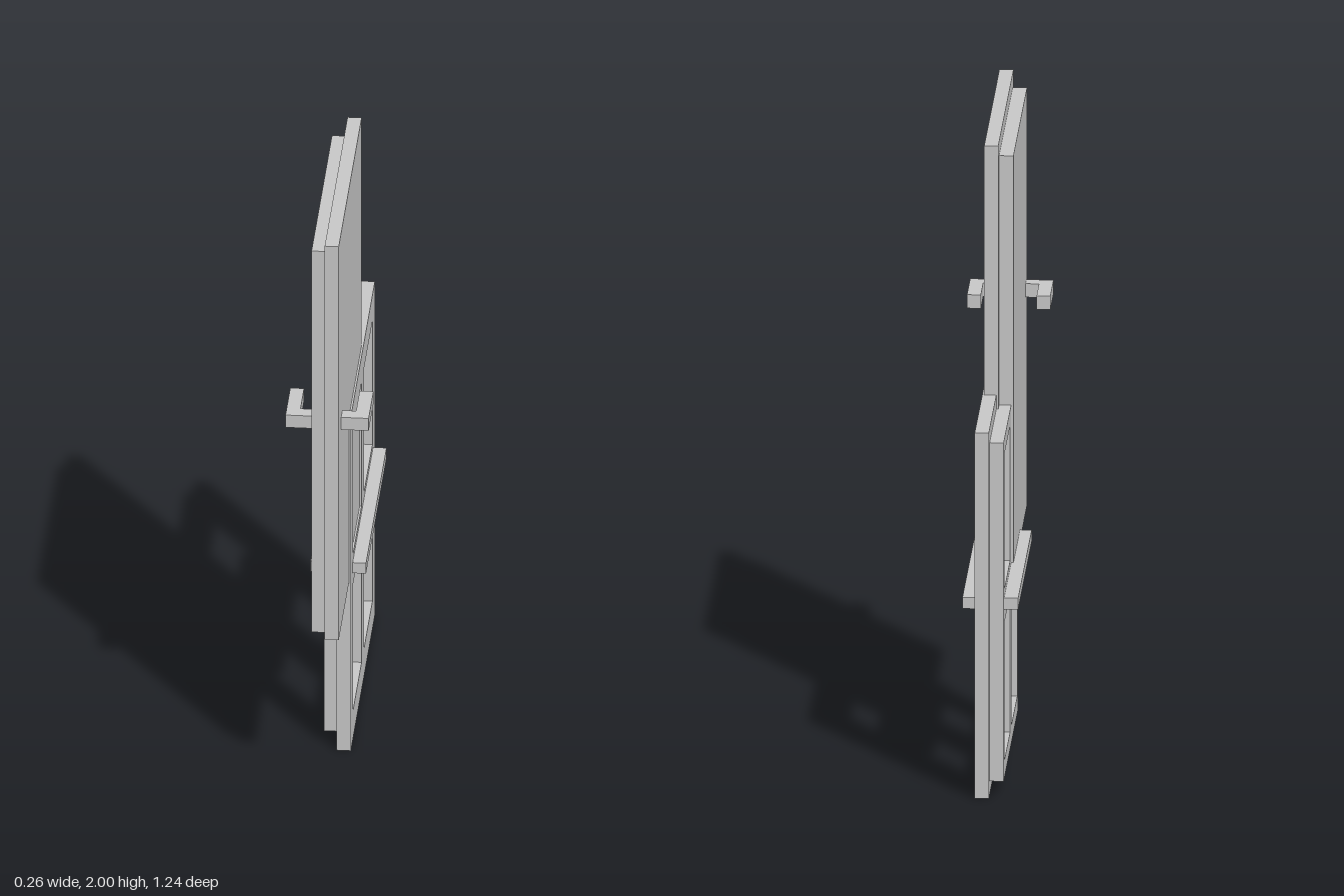
import * as THREE from 'three';

const material = new THREE.MeshStandardMaterial({ color: 0xcccccc, flatShading: true });

function addMesh(parent, name, geometry) {
  const mesh = new THREE.Mesh(geometry, material);
  mesh.name = name;
  parent.add(mesh);
}

// Box given by its limits on each axis
function addBox(parent, name, [x0, x1], [y0, y1], [z0, z1]) {
  const geometry = new THREE.BoxGeometry(x1 - x0, y1 - y0, z1 - z0);
  geometry.translate((x0 + x1) / 2, (y0 + y1) / 2, (z0 + z1) / 2);
  addMesh(parent, name, geometry);
}

// Counter-clockwise rectangle, drawn with -z to the right
function rectangle(PathType, [z0, z1], [y0, y1]) {
  return new PathType([[-z1, y0], [-z0, y0], [-z0, y1], [-z1, y1]].map(p => new THREE.Vector2(...p)));
}

// Window frame layer: a slab across x with four pane openings
function addFrame(parent, name, [x0, x1], yRange, zRange) {
  const shape = rectangle(THREE.Shape, zRange, yRange);
  for (const z of [[-0.535, -0.225], [-0.14, 0.168]])
    for (const y of [[0.098, 0.548], [0.656, 1.097]])
      shape.holes.push(rectangle(THREE.Path, z, y));
  const geometry = new THREE.ExtrudeGeometry(shape, { depth: x1 - x0, bevelEnabled: false });
  geometry.rotateY(Math.PI / 2).translate(x0, 0, 0);
  addMesh(parent, name, geometry);
}

// L-shaped handle: a stem out of the door and a grip turned towards the hinges
function addHandle(parent, name, side) {
  const points = [[0.04, 0.535], [0.13, 0.535], [0.13, 0.36], [0.087, 0.36], [0.087, 0.49], [0.04, 0.49]];
  const shape = new THREE.Shape(points.map(([x, z]) => new THREE.Vector2(side * x, -z)));
  const geometry = new THREE.ExtrudeGeometry(shape, { depth: 0.044, bevelEnabled: false });
  geometry.rotateX(-Math.PI / 2).translate(0, 1.3, 0);
  addMesh(parent, name, geometry);
}

export function createModel() {
  const model = new THREE.Group();
  model.name = 'doorAndWindow';

  // Door: wide outer leaf and smaller inner leaf
  const door = new THREE.Group();
  door.name = 'door';
  addBox(door, 'doorOuterLeaf', [0, 0.044], [0.598, 2], [-0.21, 0.622]);
  addBox(door, 'doorInnerLeaf', [-0.045, 0], [0.598, 1.956], [-0.168, 0.577]);
  addHandle(door, 'leftHandle', 1);
  addHandle(door, 'rightHandle', -1);

  // Window: two stepped frame layers with a rail on each face
  const windowGroup = new THREE.Group();
  windowGroup.name = 'window';
  addFrame(windowGroup, 'windowOuterFrame', [0.006, 0.05], [0, 1.189], [-0.622, 0.253]);
  addFrame(windowGroup, 'windowInnerFrame', [-0.038, 0.006], [0.044, 1.145], [-0.58, 0.211]);
  addBox(windowGroup, 'leftRail', [0.05, 0.092], [0.597, 0.634], [-0.557, 0.187]);
  addBox(windowGroup, 'rightRail', [-0.082, -0.038], [0.597, 0.634], [-0.557, 0.187]);

  model.add(door, windowGroup);
  return model;
}
